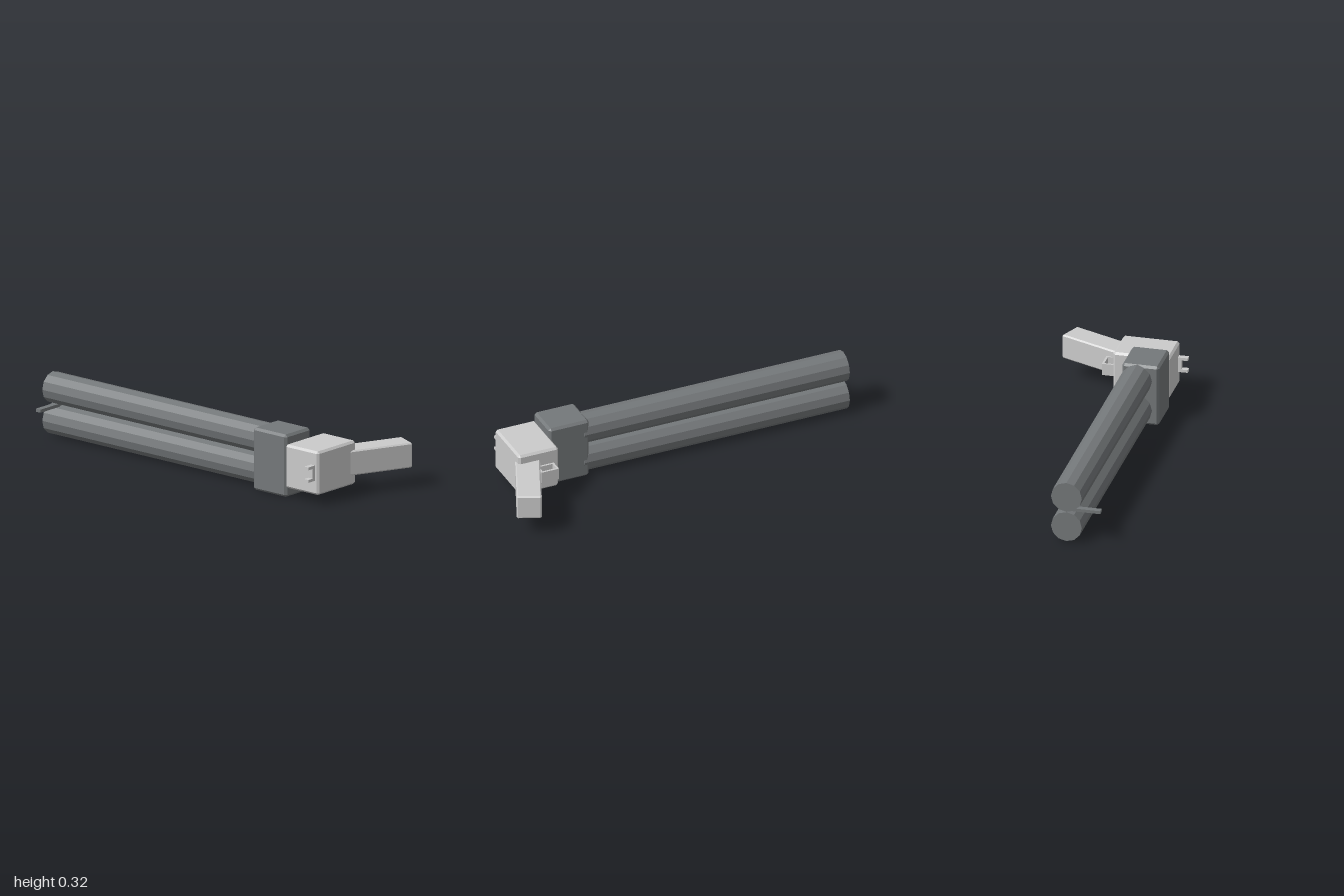
import * as THREE from 'three';
import { ConvexGeometry } from 'three/addons/geometries/ConvexGeometry.js';

const light = new THREE.MeshStandardMaterial({ color: 0xcccccc, flatShading: true });
const dark = new THREE.MeshStandardMaterial({ color: 0x74787a, flatShading: true });

// Box with every edge cut by a single flat chamfer
function chamferBox(w, h, d, b) {
  const half = [w / 2, h / 2, d / 2];
  const points = [];
  for (const sx of [-1, 1]) for (const sy of [-1, 1]) for (const sz of [-1, 1]) {
    for (let axis = 0; axis < 3; axis++) {
      const p = half.map((v, i) => (i === axis ? v : v - b));
      points.push(new THREE.Vector3(sx * p[0], sy * p[1], sz * p[2]));
    }
  }
  return new ConvexGeometry(points);
}

export function createModel() {
  const model = new THREE.Group();

  function add(parent, name, geometry, material) {
    const mesh = new THREE.Mesh(geometry, material);
    mesh.name = name;
    parent.add(mesh);
    return mesh;
  }

  // Box given by its minimum and maximum on each axis, chamfered when b is set
  function boxPart(parent, name, material, [x0, x1], [y0, y1], [z0, z1], b = 0) {
    const size = [x1 - x0, y1 - y0, z1 - z0];
    const geometry = b ? chamferBox(...size, b) : new THREE.BoxGeometry(...size);
    const mesh = add(parent, name, geometry, material);
    mesh.position.set((x0 + x1) / 2, (y0 + y1) / 2, (z0 + z1) / 2);
    return mesh;
  }

  function group(name) {
    const g = new THREE.Group();
    g.name = name;
    model.add(g);
    return g;
  }

  // Twin barrels, one above the other
  const barrels = group('barrels');
  [['lowerBarrel', 0.082], ['upperBarrel', 0.244]].forEach(([name, y]) => {
    const barrel = add(barrels, name, new THREE.CylinderGeometry(0.08, 0.08, 1.46, 12), dark);
    barrel.rotation.z = Math.PI / 2;
    barrel.position.set(-0.27, y, 0.166);
  });

  // Barrel block and receiver
  boxPart(model, 'barrelBlock', dark, [0.43, 0.652], [0, 0.325], [0.09, 0.282], 0.012);
  boxPart(model, 'receiver', light, [0.645, 0.865], [0.05, 0.277], [-0.01, 0.282], 0.011);

  // Angled grip
  const grip = add(model, 'grip', chamferBox(0.126, 0.13, 0.42, 0.007), light);
  grip.position.set(0.861, 0.165, -0.117);
  grip.rotation.y = -0.4;

  // Trigger guard, an open loop behind the receiver
  const guard = group('triggerGuard');
  const guardY = [0.133, 0.195];
  boxPart(guard, 'guardFrontBar', light, [0.673, 0.684], guardY, [-0.075, 0]);
  boxPart(guard, 'guardRearBar', light, [0.758, 0.769], guardY, [-0.075, 0]);
  boxPart(guard, 'guardOuterBar', light, [0.684, 0.758], guardY, [-0.075, -0.064]);
  boxPart(guard, 'guardInnerBar', light, [0.684, 0.758], guardY, [-0.02, 0]);

  // Notched rear sight
  const rearSight = group('rearSight');
  const sightX = [0.818, 0.846];
  boxPart(rearSight, 'sightBase', light, sightX, [0.125, 0.205], [0.275, 0.3]);
  boxPart(rearSight, 'lowerProng', light, sightX, [0.125, 0.14], [0.3, 0.333]);
  boxPart(rearSight, 'upperProng', light, sightX, [0.19, 0.205], [0.3, 0.333]);

  // Front sight blade between the muzzles
  boxPart(model, 'frontSight', dark, [-0.967, -0.936], [0.155, 0.171], [0.16, 0.333]);

  return model;
}
